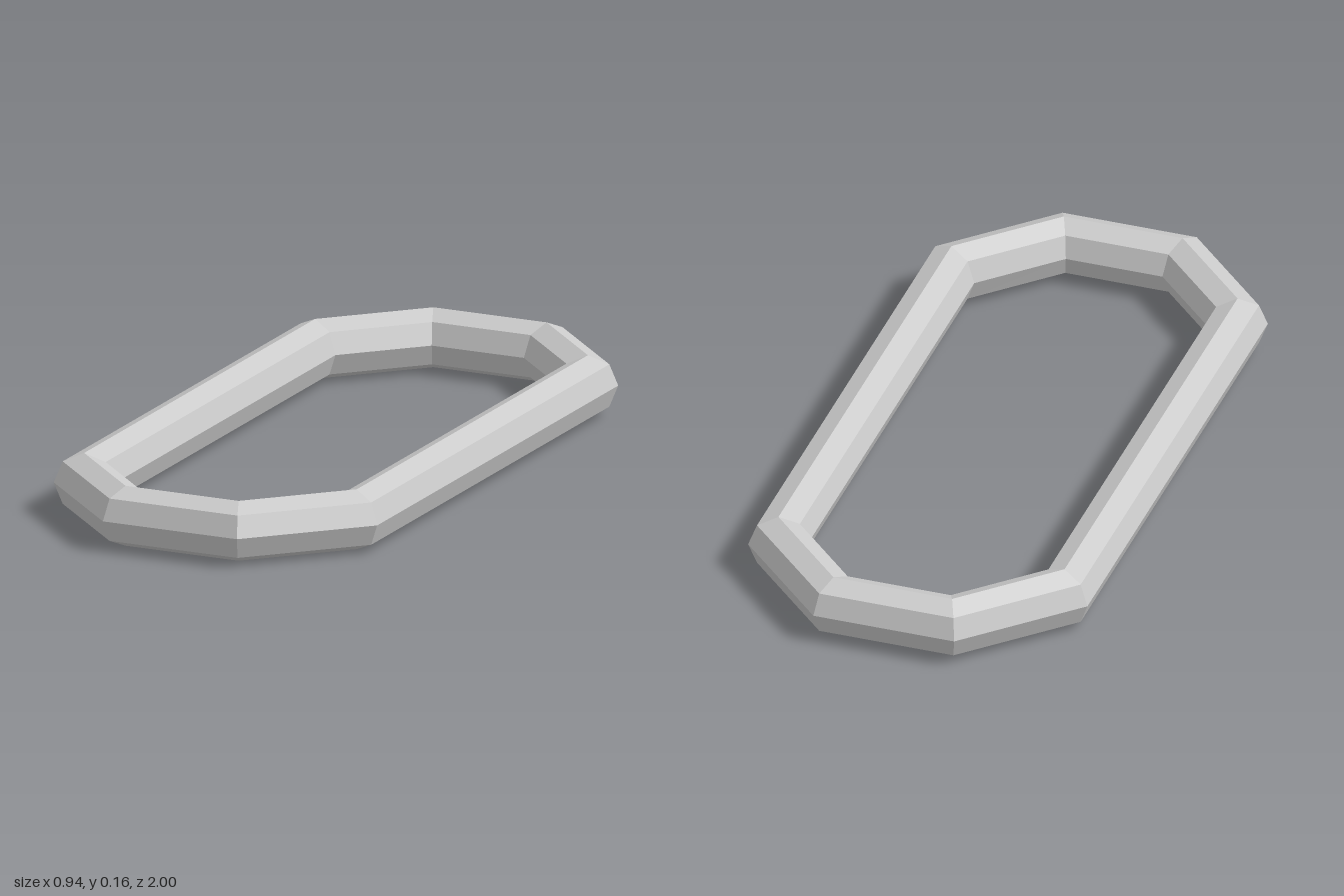
import * as THREE from 'three';

const SIDES = 8;            // facets around the bar
const RX = 0.073, RY = 0.081; // bar half-width and half-height
const MITRE = Math.tan(Math.PI / 8);

// Corners of one quarter of the elongated octagon: centre line x, z and mitre direction
const QUARTER = [
  { x: 0.393, z: 0.695, dx: 1, dz: MITRE },
  { x: 0.163, z: 0.926, dx: MITRE, dz: 1 },
];

// All eight corners, in order from +x towards +z
function ringCorners() {
  const corners = [];
  for (const [sx, sz] of [[1, 1], [-1, 1], [-1, -1], [1, -1]]) {
    const quarter = QUARTER.map(c => ({ x: c.x * sx, z: c.z * sz, dx: c.dx * sx, dz: c.dz * sz }));
    corners.push(...(sx * sz > 0 ? quarter : quarter.reverse()));
  }
  return corners;
}

// Sweep the eight-sided section round the mitred corners
function linkGeometry() {
  const corners = ringCorners();
  const positions = [], index = [];
  corners.forEach((c, i) => {
    for (let j = 0; j < SIDES; j++) {
      const t = (j / SIDES) * Math.PI * 2;
      const r = RX * Math.cos(t);
      positions.push(c.x + c.dx * r, RY + RY * Math.sin(t), c.z + c.dz * r);
      const next = ((i + 1) % corners.length) * SIDES, here = i * SIDES, k = (j + 1) % SIDES;
      index.push(here + j, here + k, next + j, here + k, next + k, next + j);
    }
  });
  const geometry = new THREE.BufferGeometry();
  geometry.setAttribute('position', new THREE.Float32BufferAttribute(positions, 3));
  geometry.setIndex(index);
  const flat = geometry.toNonIndexed();
  flat.computeVertexNormals();
  return flat;
}

export function createModel() {
  const group = new THREE.Group();
  group.name = 'chainLink';
  const material = new THREE.MeshStandardMaterial({ color: 0xcccccc, flatShading: true });
  const link = new THREE.Mesh(linkGeometry(), material);
  link.name = 'linkRing';
  link.rotation.y = -0.005; // very slight twist about the upright axis
  group.add(link);
  return group;
}
